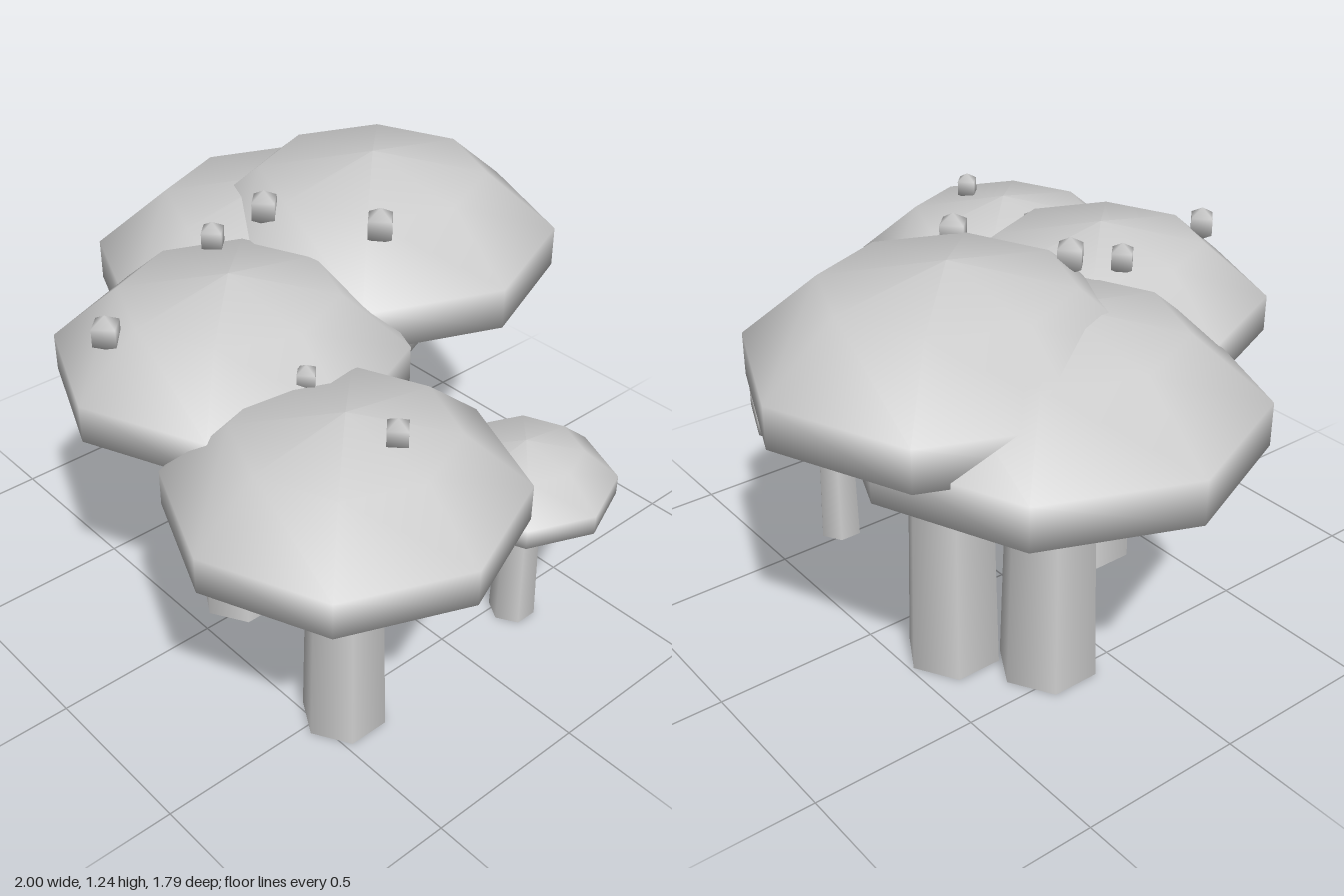
import * as THREE from 'three';

export function createModel() {
  const root = new THREE.Group();
  root.name = 'mushroomCluster';
  const grey = new THREE.MeshStandardMaterial({ color: 0xcccccc });
  grey.name = 'grey';

  const add = (parent, name, geometry, x, y, z) => {
    const mesh = new THREE.Mesh(geometry, grey);
    mesh.name = name;
    mesh.position.set(x, y, z);
    parent.add(mesh);
  };

  // Cap profile as a fraction of the cap radius, from underside to crown
  const profile = [[0, 0], [0.85, 0], [1, 0], [1, 0.22], [0.615, 0.54], [0, 0.648]];

  // Each mushroom: centre, cap radius, underside height, warts as [x, y, z, radius]
  const mushrooms = [
    { name: 'leftMushroom', x: -0.426, z: -0.166, r: 0.574, y: 0.77, warts: [] },
    { name: 'backMushroom', x: -0.21, z: -0.345, r: 0.555, y: 0.88,
      warts: [[0.07, 1.175, -0.118, 0.055], [-0.247, 1.165, 0.04, 0.054]] },
    { name: 'middleMushroom', x: -0.05, z: 0.325, r: 0.495, y: 0.815,
      warts: [[-0.27, 1.12, 0.21, 0.047], [-0.113, 1.062, 0.68, 0.052], [0.325, 1.005, 0.37, 0.038]] },
    { name: 'rightMushroom', x: 0.528, z: 0.418, r: 0.472, y: 0.718,
      warts: [[0.677, 1.023, 0.383, 0.044]] },
    { name: 'smallMushroom', x: 0.54, z: -0.26, r: 0.271, y: 0.455,
      warts: [[0.476, 0.622, -0.153, 0.027], [0.624, 0.605, -0.11, 0.026]] },
  ];

  for (const { name, x, z, r, y, warts } of mushrooms) {
    const group = new THREE.Group();
    group.name = name;
    root.add(group);

    // Tapered six-sided stem, ending just inside the cap
    const stemHeight = y + 0.1 * r;
    add(group, 'stem', new THREE.CylinderGeometry(0.215 * r, 0.259 * r, stemHeight, 6), x, stemHeight / 2, z);

    // Eight-sided domed cap
    const points = profile.map(([px, py]) => new THREE.Vector2(px * r, py * r));
    add(group, 'cap', new THREE.LatheGeometry(points, 8), x, y, z);

    // Small faceted warts on the cap
    for (const [wx, wy, wz, wr] of warts) {
      add(group, 'wart', new THREE.SphereGeometry(wr, 4, 3), wx, wy, wz);
    }
  }
  return root;
}
